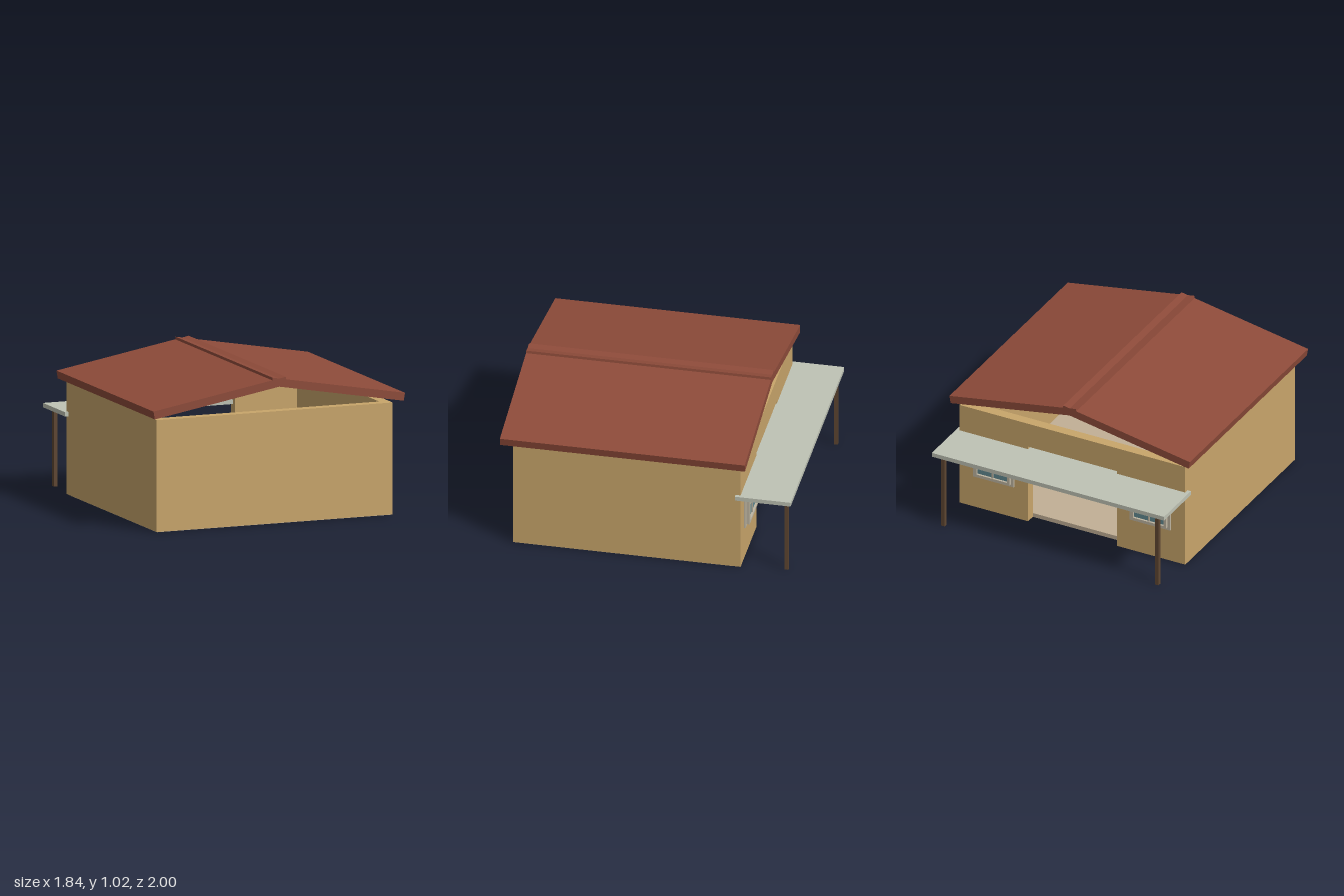
import * as THREE from 'three';

const mat = (name, color) => {
  const m = new THREE.MeshStandardMaterial({ color });
  m.name = name;
  return m;
};

export function createModel() {
  const wallTan = mat('wall tan', 0xc9a66b);
  const roofRed = mat('roof red', 0x8e4b3a);
  const canopyGrey = mat('canopy grey', 0xbfc3b5);
  const floorBeige = mat('floor beige', 0xc2b096);
  const postBrown = mat('post brown', 0x5f4732);
  const frameGrey = mat('frame grey', 0xbfb6a2);
  const glassBlue = mat('glass blue', 0x628a92);

  const house = new THREE.Group();
  house.name = 'house';

  // Box given by its minimum and maximum corners
  const box = (name, m, [x0, y0, z0], [x1, y1, z1], parent = house) => {
    const mesh = new THREE.Mesh(new THREE.BoxGeometry(x1 - x0, y1 - y0, z1 - z0), m);
    mesh.position.set((x0 + x1) / 2, (y0 + y1) / 2, (z0 + z1) / 2);
    mesh.name = name;
    parent.add(mesh);
    return mesh;
  };

  const W = 0.865, H = 0.77, T = 0.07, FRONT = 0.92, BACK = -0.65, BASE = 0.002;

  // Floor slab
  box('floor', floorBeige, [-W + 0.002, 0, BACK + T], [W - 0.002, 0.03, FRONT - 0.002]);

  // Front and side walls, open above
  box('frontWall', wallTan, [-W + T, BASE, FRONT - T], [W - T, H, FRONT]);
  box('leftWall', wallTan, [W - T, BASE, BACK], [W, H, FRONT]);
  box('rightWall', wallTan, [-W, BASE, BACK], [-W + T, H, FRONT]);

  // Back wall with a wide doorway
  const inner = W - T, door = 0.34, doorTop = 0.59;
  const outline = new THREE.Shape([
    [-inner, BASE], [-door, BASE], [-door, doorTop], [door, doorTop],
    [door, BASE], [inner, BASE], [inner, H], [-inner, H],
  ].map(([x, y]) => new THREE.Vector2(x, y)));
  const backWall = new THREE.Mesh(
    new THREE.ExtrudeGeometry(outline, { depth: T, bevelEnabled: false }), wallTan);
  backWall.position.z = BACK;
  backWall.name = 'backWall';
  house.add(backWall);

  // Two roof slabs that cross at the ridge
  for (const s of [1, -1]) {
    const slab = new THREE.Mesh(new THREE.BoxGeometry(0.985, 0.055, 1.69), roofRed);
    slab.position.set(s * 0.432, 0.9045, 0.155);
    slab.rotation.z = -s * Math.PI / 18;
    slab.name = s > 0 ? 'leftRoof' : 'rightRoof';
    house.add(slab);
  }

  // Porch canopy and posts
  box('canopy', canopyGrey, [-0.89, 0.54, -1], [0.89, 0.57, -0.615]);
  for (const s of [1, -1]) {
    const x = s * 0.82;
    box('porchPost', postBrown, [x - 0.0135, 0, -0.973], [x + 0.0135, 0.54, -0.946]);
  }

  // Windows either side of the doorway
  for (const s of [1, -1]) {
    const win = new THREE.Group();
    win.name = 'window';
    win.position.set(s * 0.6, 0.39, BACK);
    house.add(win);
    box('casing', frameGrey, [-0.155, -0.145, -0.012], [0.155, 0.145, 0], win);
    box('glass', glassBlue, [-0.117, -0.107, -0.021], [0.117, 0.107, -0.012], win);
    for (const k of [1, -1]) {
      const side = box('sashSide', frameGrey, [-0.009, -0.125, -0.036], [0.009, 0.125, -0.012], win);
      side.position.x = k * 0.126;
      const rail = box('sashRail', frameGrey, [-0.117, -0.009, -0.036], [0.117, 0.009, -0.012], win);
      rail.position.y = k * 0.116;
    }
    box('uprightBar', frameGrey, [-0.006, -0.107, -0.03], [0.006, 0.107, -0.021], win);
    box('crossBar', frameGrey, [-0.117, -0.006, -0.029], [0.117, 0.006, -0.021], win);
  }

  return house;
}
